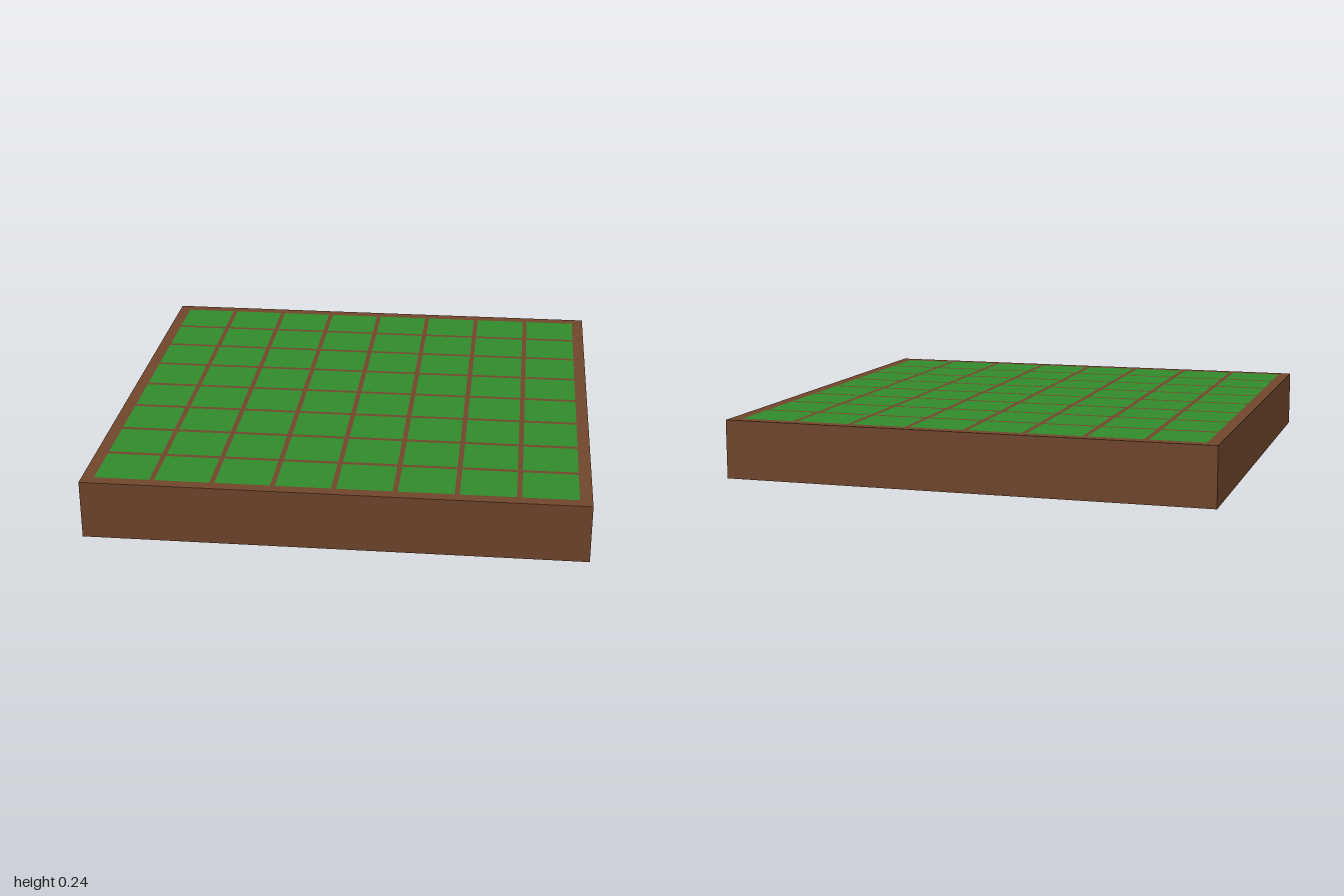
import * as THREE from 'three';

const HEIGHT = 0.24, CELLS = 8, PITCH = 0.24, TILE = 0.22;

export function createModel() {
  const model = new THREE.Group();
  const wood = new THREE.MeshStandardMaterial({ color: 0x70462c, side: THREE.DoubleSide });
  const grass = new THREE.MeshStandardMaterial({ color: 0x318a2b, side: THREE.DoubleSide });

  // Four thin walls, open underneath
  const walls = new THREE.Group();
  walls.name = 'walls';
  for (let i = 0; i < 4; i++) {
    const geometry = new THREE.PlaneGeometry(2, HEIGHT).translate(0, HEIGHT / 2, 1).rotateY(i * Math.PI / 2);
    const wall = new THREE.Mesh(geometry, wood);
    wall.name = ['frontWall', 'leftWall', 'backWall', 'rightWall'][i];
    walls.add(wall);
  }
  model.add(walls);

  // Square outline about a centre
  const square = (Path, x, y, size) => {
    const h = size / 2;
    return new Path([[-h, -h], [h, -h], [h, h], [-h, h]].map(([a, b]) => new THREE.Vector2(x + a, y + b)));
  };

  // Top lattice with a square opening for each tile, and the flush tiles that fill it
  const lattice = square(THREE.Shape, 0, 0, 2);
  const tiles = new THREE.Group();
  tiles.name = 'tiles';
  const tileGeometry = new THREE.PlaneGeometry(TILE, TILE).rotateX(-Math.PI / 2);
  for (let row = 0; row < CELLS; row++) {
    for (let col = 0; col < CELLS; col++) {
      const x = (col - (CELLS - 1) / 2) * PITCH;
      const z = (row - (CELLS - 1) / 2) * PITCH;
      lattice.holes.push(square(THREE.Path, x, -z, TILE));
      const tile = new THREE.Mesh(tileGeometry, grass);
      tile.name = 'tile';
      tile.position.set(x, HEIGHT, z);
      tiles.add(tile);
    }
  }
  const top = new THREE.Mesh(
    new THREE.ShapeGeometry(lattice).rotateX(-Math.PI / 2).translate(0, HEIGHT, 0), wood);
  top.name = 'topLattice';
  model.add(top, tiles);
  return model;
}
